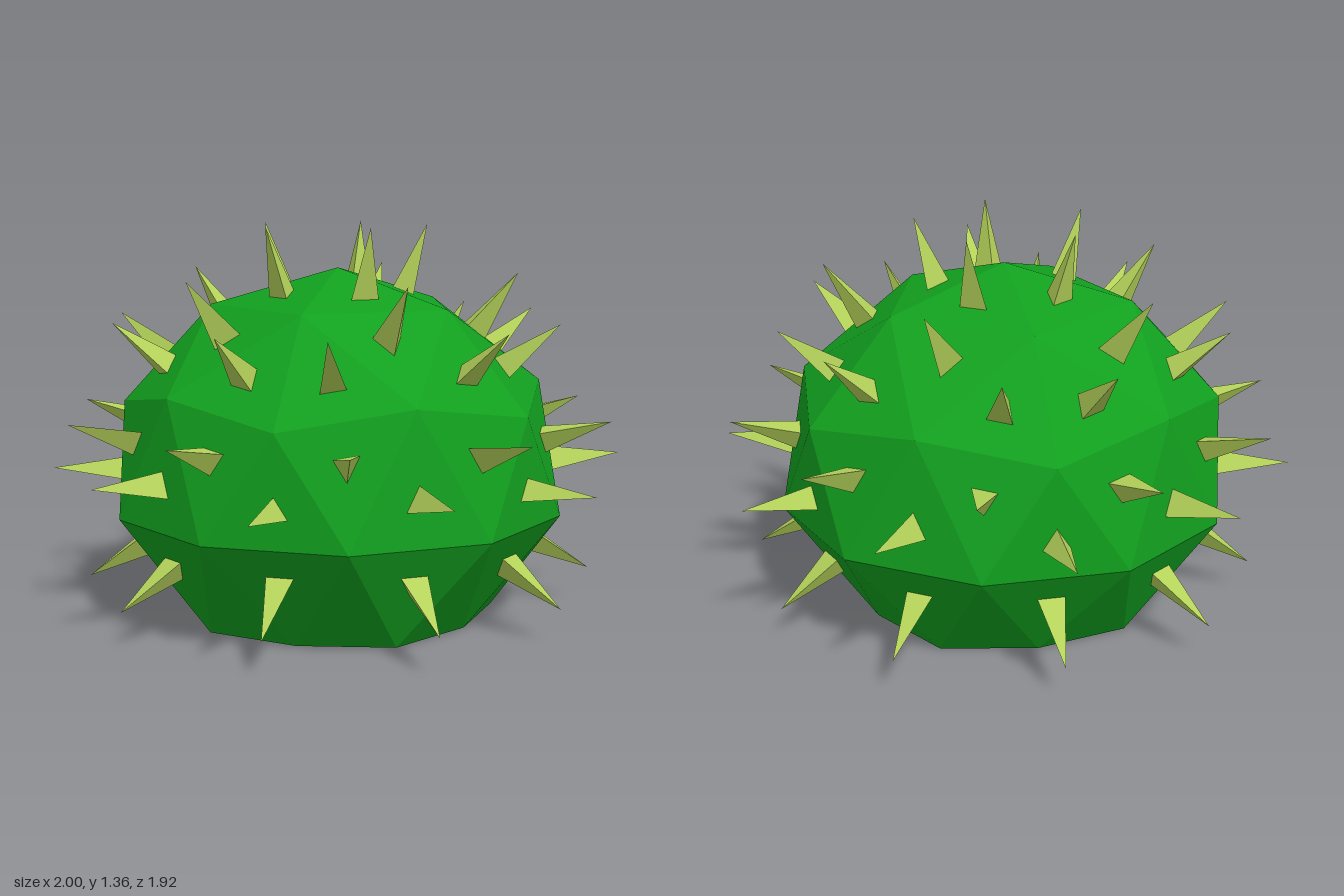
import * as THREE from 'three';

const CENTRE = new THREE.Vector3(0, 0.375, 0);

// point from radius, height and angle in degrees around y
function polar(r, y, deg) {
  const a = THREE.MathUtils.degToRad(deg);
  return new THREE.Vector3(r * Math.cos(a), y, r * Math.sin(a));
}

// flat-shaded geometry from triangles, each turned to face away from `inside`
function facets(triangles, inside) {
  const points = [];
  for (const [a, b, c] of triangles) {
    const n = b.clone().sub(a).cross(c.clone().sub(a));
    points.push(...(n.dot(a.clone().sub(inside)) >= 0 ? [a, b, c] : [a, c, b]));
  }
  const geo = new THREE.BufferGeometry().setFromPoints(points);
  geo.computeVertexNormals();
  return geo;
}

const centroid = (pts) => pts.reduce((s, p) => s.add(p), new THREE.Vector3()).divideScalar(pts.length);

// three-sided spike whose base is a shrunken copy of the facet it grows from
function spikeGeometry(face, tipRadius, tipY) {
  const mid = centroid(face);
  const tip = polar(tipRadius, tipY, THREE.MathUtils.radToDeg(Math.atan2(mid.z, mid.x)));
  const base = face.map((p) => mid.clone().lerp(p, 0.19));
  const sides = base.map((p, i) => [p, base[(i + 1) % 3], tip]);
  return facets(sides, mid.clone().lerp(tip, 0.1));
}

export function createModel() {
  const model = new THREE.Group();
  model.name = 'spikyDome';
  const green = new THREE.MeshStandardMaterial({ color: 0x12a01f, flatShading: true });
  const lime = new THREE.MeshStandardMaterial({ color: 0xb4d25a, flatShading: true });

  const bodyFaces = [];
  const spikes = new THREE.Group();
  spikes.name = 'spikes';

  // five identical sectors of a faceted sphere with a flattened underside
  for (let k = 0; k < 5; k++) {
    const d = 72 * k;
    const top = new THREE.Vector3(0, 1.21, 0);
    const bottom = new THREE.Vector3(0, 0, 0);
    const crown = (t) => polar(0.44, 1.085, d + t);
    const shoulder = (t) => polar(0.747, 0.748, d + t);
    const between = polar(0.71, 0.814, d + 36);
    const waist = (t) => polar(0.79, 0.375, d + t);
    const foot = (t) => polar(t === 36 ? 0.55 : 0.515, 0, d + t);

    // facets that carry a spike: three corners, then tip radius and tip height
    const spiked = [
      [[top, crown(0), crown(72)], 0.31, 1.36],
      [[crown(0), between, crown(72)], 0.63, 1.19],
      [[crown(0), shoulder(0), between], 0.79, 1.04],
      [[crown(72), between, shoulder(72)], 0.79, 1.04],
      [[shoulder(0), waist(18), between], 0.958, 0.71],
      [[shoulder(72), between, waist(54)], 0.958, 0.71],
      [[shoulder(0), waist(-18), waist(18)], 1.0, 0.51],
      [[between, waist(18), waist(54)], 1.0, 0.55],
      [[waist(-18), waist(18), foot(0)], 0.88, 0.12],
      [[waist(18), waist(54), foot(36)], 0.9, 0.13],
    ];
    for (const [face, r, y] of spiked) {
      bodyFaces.push(face);
      const spike = new THREE.Mesh(spikeGeometry(face, r, y), lime);
      spike.name = 'spike';
      spikes.add(spike);
    }

    // bare facets of the lower rim and the flat underside
    for (const [w, a, b] of [[18, 0, 36], [54, 36, 72]]) {
      bodyFaces.push([waist(w), foot(a), foot(b)], [bottom, foot(a), foot(b)]);
    }
  }

  const body = new THREE.Mesh(facets(bodyFaces, CENTRE), green);
  body.name = 'body';
  model.add(body, spikes);
  return model;
}
